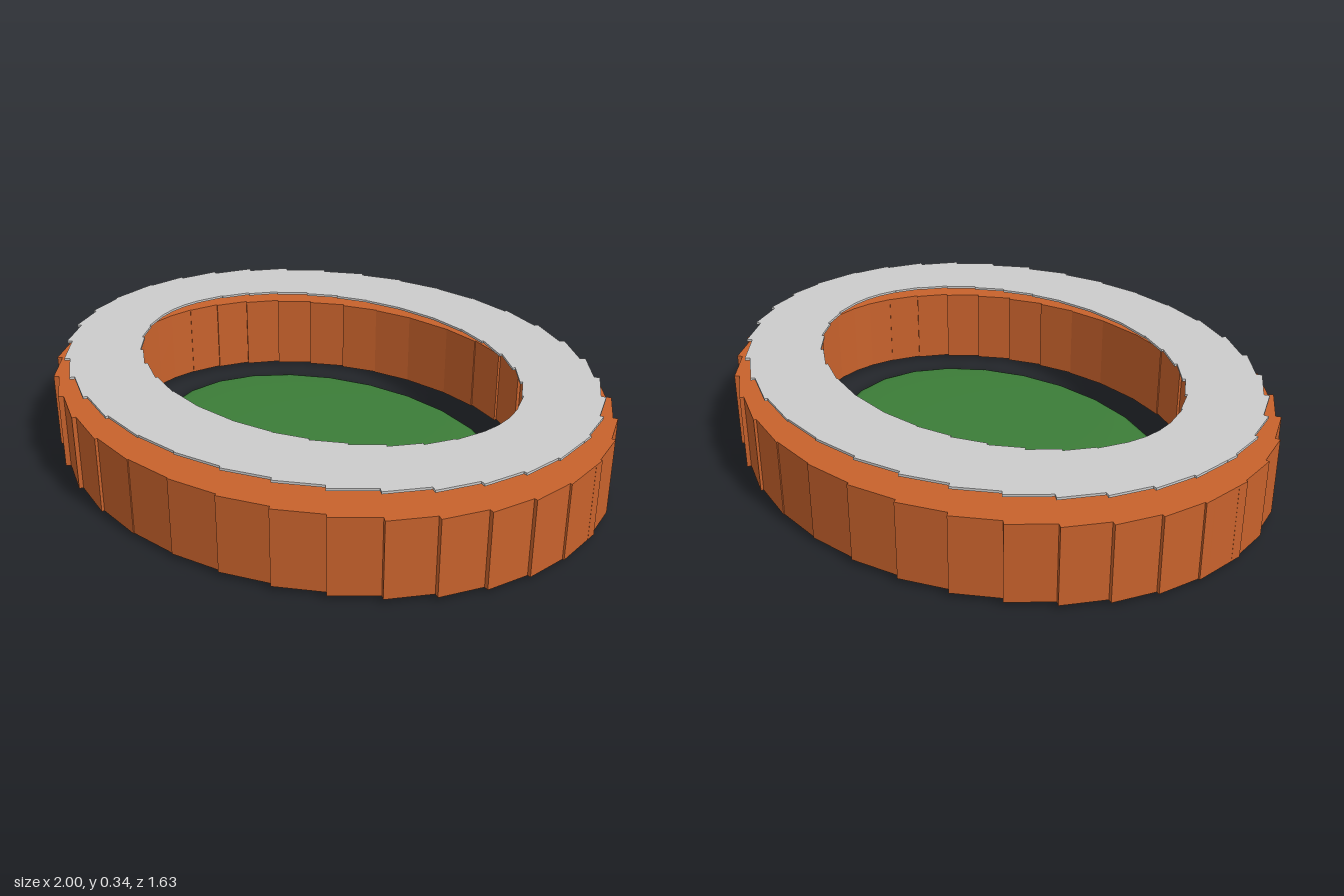
import * as THREE from 'three';

const SEGMENTS = 36;

// Ring of equal boxes laid round an oval; rx and rz reach the outer faces.
function boxRing(name, { rx, rz, depth, width, y0, y1 }, color) {
  const ring = new THREE.Group();
  ring.name = name;
  const geometry = new THREE.BoxGeometry(width, y1 - y0, depth);
  const material = new THREE.MeshStandardMaterial({ color, flatShading: true });
  for (let i = 0; i < SEGMENTS; i++) {
    const a = (i / SEGMENTS) * Math.PI * 2;
    const box = new THREE.Mesh(geometry, material);
    box.name = name + 'Segment';
    box.position.set((rx - depth / 2) * Math.sin(a), (y0 + y1) / 2, (rz - depth / 2) * Math.cos(a));
    box.rotation.y = a;
    ring.add(box);
  }
  return ring;
}

export function createModel() {
  const model = new THREE.Group();
  model.name = 'stadium';

  // Oval wall of stands
  model.add(boxRing('stand', { rx: 1, rz: 0.81, depth: 0.21, width: 0.18, y0: 0.014, y1: 0.275 }, 0xc8622c));

  // Thin roof floating above the stands
  model.add(boxRing('roof', { rx: 0.955, rz: 0.77, depth: 0.247, width: 0.18, y0: 0.335, y1: 0.343 }, 0xcccccc));

  // Very flat oval pitch
  const pitch = new THREE.Mesh(
    new THREE.SphereGeometry(1, 24, 16),
    new THREE.MeshStandardMaterial({ color: 0x3c7d38 })
  );
  pitch.name = 'pitch';
  pitch.scale.set(0.66, 0.013, 0.49);
  pitch.position.y = 0.013;
  model.add(pitch);

  return model;
}
